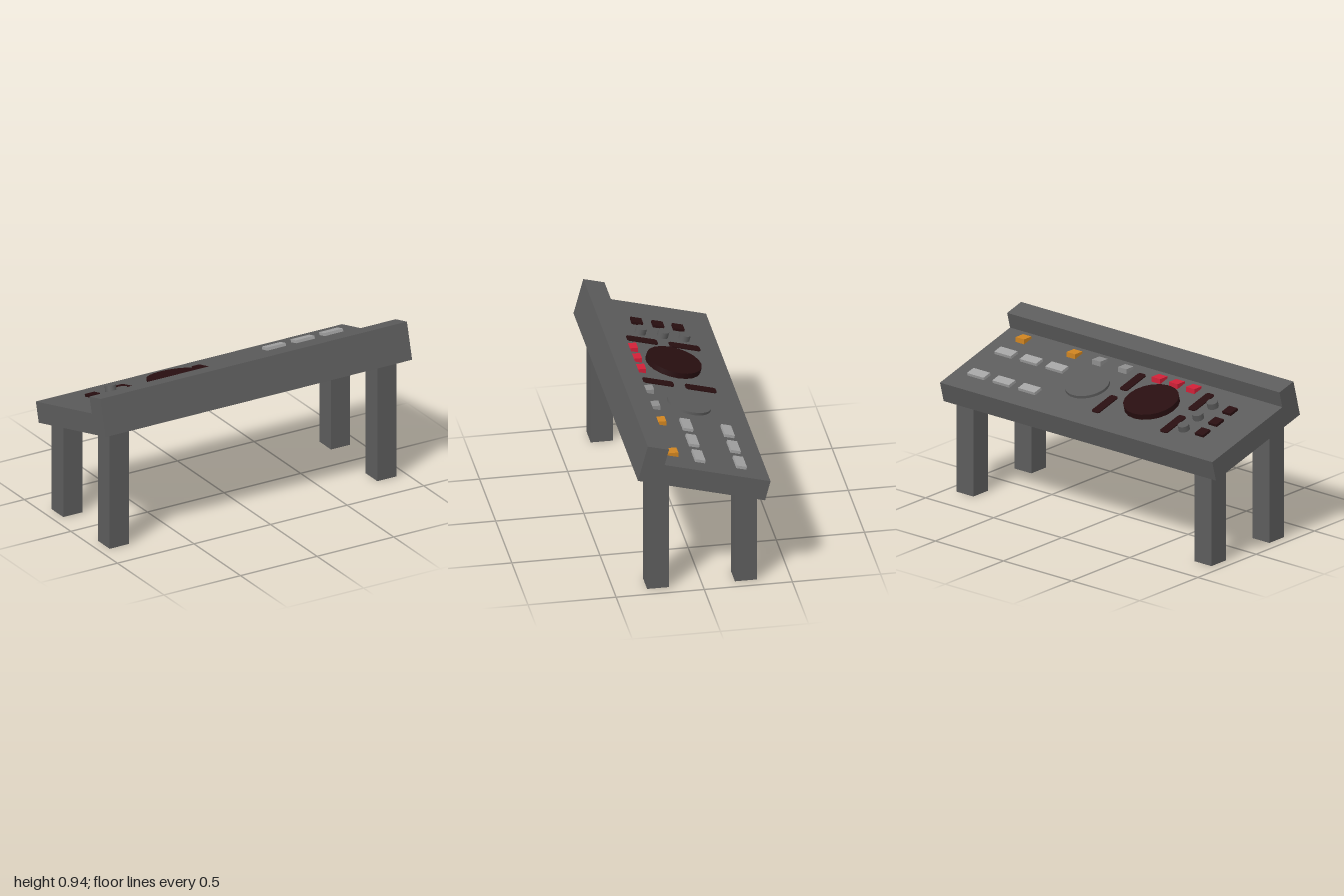
import * as THREE from 'three';

const TILT = Math.PI / 12;

function material(name, color) {
  const m = new THREE.MeshStandardMaterial({ color });
  m.name = name;
  return m;
}

export function createModel() {
  const grey = material('console grey', 0x5c5c5c);
  const maroon = material('dark maroon', 0x280e10);
  const red = material('red', 0xd02038);
  const orange = material('orange', 0xcf8420);
  const silver = material('silver', 0xa2a2a2);
  const midGrey = material('mid grey', 0x8e8e8e);

  const model = new THREE.Group();
  model.name = 'controlDesk';

  function add(parent, name, geometry, mat, x, y, z) {
    const mesh = new THREE.Mesh(geometry, mat);
    mesh.name = name;
    mesh.position.set(x, y, z);
    parent.add(mesh);
    return mesh;
  }

  // Sloping desk with a raised front lip, one profile pulled along x
  const profile = new THREE.Shape([
    [0.376, 0.725], [0.32, 0.937], [0.2, 0.905], [0.225, 0.811], [-0.376, 0.65], [-0.345, 0.532],
  ].map(([z, y]) => new THREE.Vector2(z, y)));
  const desk = new THREE.ExtrudeGeometry(profile, { depth: 2, bevelEnabled: false });
  desk.translate(0, 0, -1);
  desk.rotateY(-Math.PI / 2);
  add(model, 'desk', desk, grey, 0, 0, 0);

  // Four square legs, ending inside the desk
  for (const side of [-1, 1]) {
    for (const [name, z, h] of [['frontLeg', 0.25, 0.74], ['backLeg', -0.248, 0.61]]) {
      add(model, name, new THREE.BoxGeometry(0.125, h, 0.125), grey, side * 0.874, h / 2, z);
    }
  }

  // Tilted group whose local y = 0 is the desk surface
  const panel = new THREE.Group();
  panel.name = 'controlPanel';
  panel.position.y = 0.751;
  panel.rotation.x = -TILT;
  model.add(panel);
  const along = (z) => z / Math.cos(TILT);

  const disc = (name, mat, x, z, r, h, sides) =>
    add(panel, name, new THREE.CylinderGeometry(r, r, h, sides), mat, x, h / 2, along(z));
  const block = (name, mat, x, z, w, d, h) =>
    add(panel, name, new THREE.BoxGeometry(w, h, d), mat, x, h / 2, along(z));

  // Large dials
  disc('darkDial', maroon, -0.284, -0.057, 0.159, 0.033, 20);
  disc('greyDial', grey, 0.185, -0.062, 0.127, 0.016, 32);

  // Slider strips with clipped corners, around the dark dial
  const w = 0.028, l = 0.09, c = 0.01;
  const outline = new THREE.Shape([
    [w, l - c], [w - c, l], [c - w, l], [-w, l - c], [-w, c - l], [c - w, -l], [w - c, -l], [w, c - l],
  ].map(([x, y]) => new THREE.Vector2(x, y)));
  const strip = new THREE.ExtrudeGeometry(outline, { depth: 0.006, bevelEnabled: false });
  strip.rotateX(-Math.PI / 2);
  for (const x of [-0.534, -0.033]) {
    for (const z of [-0.168, 0.073]) add(panel, 'sliderStrip', strip, maroon, x, 0, along(z));
  }

  // Square buttons and round knobs on the right end
  for (const z of [-0.17, -0.055, 0.065]) {
    block('squareButton', maroon, -0.754, z, 0.062, 0.064, 0.015);
  }
  for (const z of [-0.182, -0.06, 0.066]) disc('knob', grey, -0.628, z, 0.032, 0.035, 16);

  // Wide silver keys in two rows of three
  for (const x of [0.466, 0.654, 0.84]) {
    for (const z of [-0.228, 0.006]) block('wideKey', silver, x, z, 0.122, 0.058, 0.017);
  }

  // Level buttons in a row behind the lip
  const row = [
    [red, 'redButton', [-0.409, -0.285, -0.158]],
    [midGrey, 'greyButton', [0.09, 0.281]],
    [orange, 'orangeButton', [0.467, 0.841]],
  ];
  for (const [mat, name, xs] of row) {
    for (const x of xs) add(model, name, new THREE.BoxGeometry(0.062, 0.05, 0.063), mat, x, 0.788, 0.155);
  }

  return model;
}
